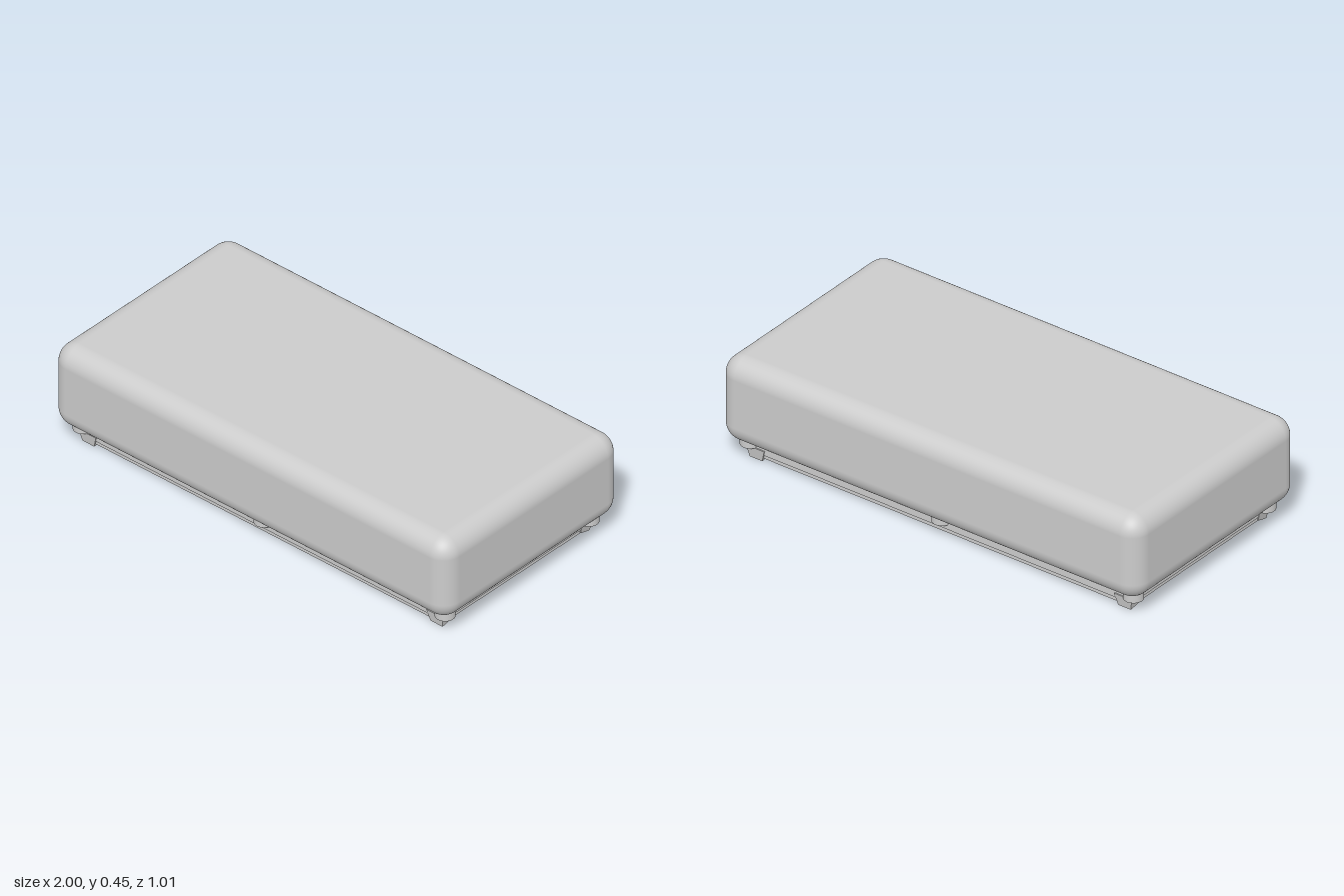
import * as THREE from 'three';
import { RoundedBoxGeometry } from 'three/addons/geometries/RoundedBoxGeometry.js';

const grey = new THREE.MeshStandardMaterial({ color: 0xcccccc });

function add(parent, name, geometry, x = 0, y = 0, z = 0) {
  const mesh = new THREE.Mesh(geometry, grey);
  mesh.name = name;
  mesh.position.set(x, y, z);
  parent.add(mesh);
  return mesh;
}

// Corner foot: a wedge rising inward along z, tapering slightly outward at the top
function footGeometry() {
  const profile = new THREE.Shape([
    new THREE.Vector2(-0.365, 0.05), new THREE.Vector2(-0.365, 0.014),
    new THREE.Vector2(-0.413, 0), new THREE.Vector2(-0.42, 0),
    new THREE.Vector2(-0.428, 0.05),
  ]);
  const geometry = new THREE.ExtrudeGeometry(profile, { depth: 0.06, bevelEnabled: false });
  geometry.rotateY(Math.PI / 2);
  geometry.translate(0.85, 0, 0);
  const p = geometry.attributes.position;
  for (let i = 0; i < p.count; i++) {
    const outer = p.getX(i) > 0.88;
    p.setX(i, p.getX(i) + (outer ? 0.2 : -0.3) * p.getY(i));
  }
  geometry.computeVertexNormals();
  return geometry;
}

export function createModel() {
  const model = new THREE.Group();
  model.name = 'softBlock';

  // Main body with generous rounding on every edge
  add(model, 'body', new RoundedBoxGeometry(2, 0.37, 1.008, 8, 0.08), 0, 0.265, 0);

  // Stepped base below the body
  add(model, 'baseFrame', new THREE.BoxGeometry(1.83, 0.055, 0.845), 0, 0.0575, 0);
  add(model, 'bottomPlate', new THREE.BoxGeometry(1.82, 0.018, 0.835), 0, 0.022, 0);

  // Round studs at the corners and the middle of the long sides
  const stud = new THREE.CylinderGeometry(0.04, 0.04, 0.055, 32);
  for (const z of [-0.41, 0.41]) {
    for (const x of [-0.915, 0, 0.915]) add(model, 'stud', stud, x, 0.0775, z);
  }

  // Four mirrored corner feet
  const foot = footGeometry();
  for (const sx of [-1, 1]) {
    for (const sz of [-1, 1]) add(model, 'cornerFoot', foot).scale.set(sx, 1, sz);
  }
  return model;
}
